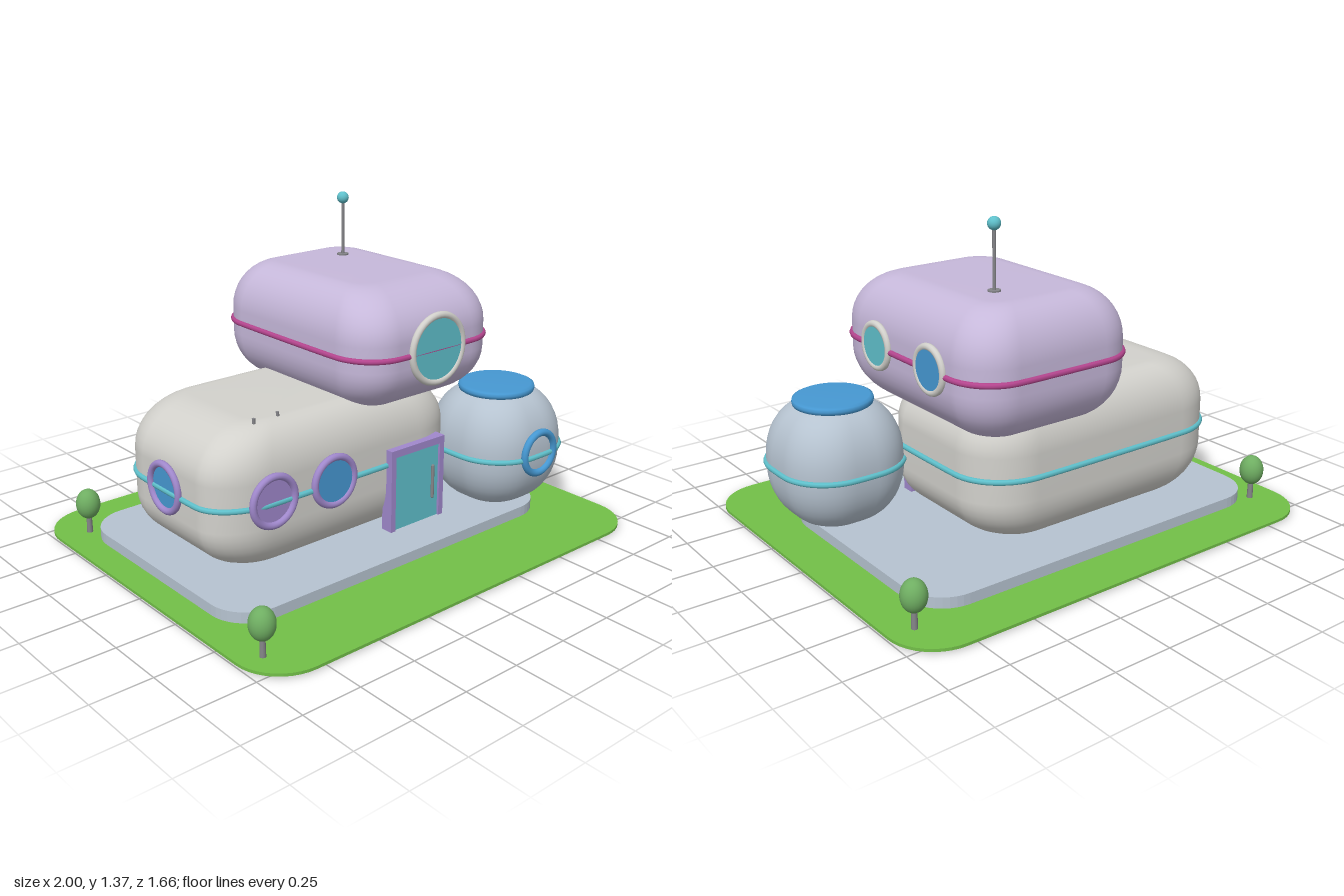
import * as THREE from 'three';

const mat = (name, color) => new THREE.MeshStandardMaterial({ name, color });

export function createModel() {
  const root = new THREE.Group();
  root.name = 'podHouse';
  const M = {
    grass: mat('grassGreen', 0x72bf48),
    leaf: mat('leafGreen', 0x6fae62),
    slab: mat('paleBlueGrey', 0xb6c3d0),
    white: mat('warmWhite', 0xd2d1cc),
    lilac: mat('lilac', 0xc6b8da),
    purple: mat('purple', 0xa088cc),
    teal: mat('teal', 0x5fc0cb),
    blue: mat('blue', 0x4698d2),
    magenta: mat('magenta', 0xb5468f),
    metal: mat('metalGrey', 0x858589),
  };

  const add = (name, geo, material, x = 0, y = 0, z = 0, parent = root) => {
    const m = new THREE.Mesh(geo, material);
    m.name = name;
    m.position.set(x, y, z);
    parent.add(m);
    return m;
  };

  // Flat plate with rounded corners, bottom at y0
  const plate = (name, material, x0, x1, z0, z1, y0, y1, r) => {
    const s = new THREE.Shape();
    const w = (x1 - x0) / 2, d = (z1 - z0) / 2;
    s.absarc(w - r, d - r, r, 0, Math.PI / 2);
    s.absarc(-w + r, d - r, r, Math.PI / 2, Math.PI);
    s.absarc(-w + r, -d + r, r, Math.PI, Math.PI * 1.5);
    s.absarc(w - r, -d + r, r, Math.PI * 1.5, Math.PI * 2);
    const g = new THREE.ExtrudeGeometry(s, { depth: y1 - y0, bevelEnabled: false, curveSegments: 5 });
    g.rotateX(-Math.PI / 2);
    return add(name, g, material, (x0 + x1) / 2, y0, (z0 + z1) / 2);
  };

  // Rounded-rectangle outline of a pod, shrunk by f (0 = widest, 1 = top or bottom)
  const N = 10;
  const outline = (p, f, y) => {
    const x0 = p.x[0] + p.ix * f, x1 = p.x[1] - p.ix * f;
    const z0 = p.z[0] + p.ib * f, z1 = p.z[1] - p.if * f;
    const k = 1 - 0.6 * f, pts = [];
    for (let q = 0; q < 4; q++) {
      const right = q === 0 || q === 3, front = q < 2;
      const rx = p.rx * k, rz = (front ? p.rf : p.rb) * k;
      const cx = right ? x1 - rx : x0 + rx, cz = front ? z1 - rz : z0 + rz;
      for (let j = 0; j <= N; j++) {
        const a = (q + j / N) * Math.PI / 2;
        pts.push(new THREE.Vector3(cx + rx * Math.cos(a), y, cz + rz * Math.sin(a)));
      }
    }
    return pts;
  };

  // Soft pod skinned through stacked outlines, with a trim tube round its waist
  const pod = (name, p, material, trimMaterial, trimY) => {
    const [y0, y1] = p.y, V = 10, rings = [];
    for (let i = 0; i <= V; i++) {
      const t = (1 - i / V) * Math.PI / 2;
      rings.push(outline(p, 1 - Math.cos(t), y0 + p.rv * (1 - Math.sin(t))));
    }
    for (let i = 0; i <= V; i++) {
      const t = (i / V) * Math.PI / 2;
      rings.push(outline(p, 1 - Math.cos(t), y1 - p.rv * (1 - Math.sin(t))));
    }
    const n = rings[0].length, pts = rings.flat(), idx = [];
    const cx = (p.x[0] + p.x[1]) / 2, cz = (p.z[0] + p.z[1]) / 2;
    const bottom = pts.push(new THREE.Vector3(cx, y0, cz)) - 1;
    const top = pts.push(new THREE.Vector3(cx, y1, cz)) - 1;
    const last = (rings.length - 1) * n;
    for (let j = 0; j < n; j++) {
      const j2 = (j + 1) % n;
      for (let k = 0; k < rings.length - 1; k++) {
        const a = k * n + j, b = k * n + j2;
        idx.push(a, a + n, b, b, a + n, b + n);
      }
      idx.push(bottom, j, j2, top, last + j2, last + j);
    }
    const g = new THREE.BufferGeometry().setFromPoints(pts);
    g.setIndex(idx);
    g.computeVertexNormals();
    add(name, g, material);
    const curve = new THREE.CatmullRomCurve3(outline(p, 0, trimY), true);
    add(name + 'Trim', new THREE.TubeGeometry(curve, 140, 0.012, 8, true), trimMaterial);
  };

  // Round window facing +z, turned about y
  const porthole = (name, ringMat, glassMat, R, r, x, y, z, turn = 0, glassZ = 0.005) => {
    const g = new THREE.Group();
    g.name = name;
    g.position.set(x, y, z);
    g.rotation.y = turn;
    add('windowRing', new THREE.TorusGeometry((R + r) / 2, (R - r) / 2, 12, 40), ringMat, 0, 0, 0, g);
    if (glassMat) {
      const disc = new THREE.CylinderGeometry(r + 0.006, r + 0.006, 0.04, 36).rotateX(Math.PI / 2);
      add('windowGlass', disc, glassMat, 0, 0, glassZ - 0.02, g);
    }
    root.add(g);
  };

  // Ground and foundation
  plate('lawn', M.grass, -1, 1, -0.83, 0.83, 0.008, 0.02, 0.2);
  plate('foundation', M.slab, -0.88, 0.81, -0.62, 0.48, 0.02, 0.065, 0.17);
  add('doorstep', new THREE.BoxGeometry(0.32, 0.012, 0.08), M.metal, 0.18, 0.006, 0.3);

  // Three pods
  pod('mainPod', { x: [-0.795, 0.455], y: [0.065, 0.655], z: [-0.485, 0.272],
    ix: 0.25, if: 0.14, ib: 0.15, rx: 0.24, rf: 0.17, rb: 0.22, rv: 0.2 }, M.white, M.teal, 0.36);
  pod('upperPod', { x: [-0.15, 0.612], y: [0.583, 1.09], z: [-0.648, 0.345],
    ix: 0.18, if: 0.23, ib: 0.16, rx: 0.18, rf: 0.19, rb: 0.18, rv: 0.2 }, M.lilac, M.magenta, 0.835);
  pod('sidePod', { x: [0.42, 0.942], y: [0.062, 0.565], z: [0.008, 0.53],
    ix: 0.165, if: 0.165, ib: 0.165, rx: 0.21, rf: 0.21, rb: 0.21, rv: 0.23 }, M.slab, M.teal, 0.31);

  // Side pod roof cap with a rounded rim
  const cap = [[0, 0], [0.15, 0], [0.163, 0.008], [0.166, 0.02], [0.163, 0.032], [0.15, 0.038], [0, 0.038]];
  add('roofCap', new THREE.LatheGeometry(cap.map(c => new THREE.Vector2(...c)), 40), M.blue, 0.68, 0.545, 0.27);

  // Windows
  const side = Math.PI / 2;
  porthole('mainWindowOuter', M.purple, M.purple, 0.115, 0.085, -0.555, 0.375, 0.28, 0, -0.002);
  porthole('mainWindowInner', M.purple, M.blue, 0.115, 0.085, -0.255, 0.375, 0.28, 0, 0.006);
  porthole('mainWindowEnd', M.purple, M.blue, 0.112, 0.083, -0.803, 0.375, -0.1, -side, -0.002);
  porthole('upperWindowFront', M.white, M.teal, 0.155, 0.125, 0.23, 0.84, 0.35, 0, 0.008);
  porthole('upperWindowSideA', M.white, M.teal, 0.1, 0.072, 0.616, 0.84, 0.02, side, 0.01);
  porthole('upperWindowSideB', M.white, M.blue, 0.1, 0.072, 0.616, 0.84, -0.345, side, 0.01);
  porthole('sideWindow', M.blue, null, 0.107, 0.075, 0.68, 0.325, 0.53);

  // Door: frame with opening, panel and handle
  const frame = new THREE.Shape();
  [[-0.15, 0], [-0.125, 0], [-0.125, 0.33], [0.125, 0.33], [0.125, 0], [0.15, 0], [0.15, 0.362], [-0.15, 0.362]]
    .forEach(([x, y], i) => (i ? frame.lineTo(x, y) : frame.moveTo(x, y)));
  add('doorFrame', new THREE.ExtrudeGeometry(frame, { depth: 0.055, bevelEnabled: false }), M.purple, 0.18, 0.066, 0.25);
  add('doorPanel', new THREE.BoxGeometry(0.25, 0.33, 0.05), M.teal, 0.18, 0.231, 0.27);
  add('doorHandle', new THREE.CapsuleGeometry(0.007, 0.14, 4, 10), M.metal, 0.265, 0.235, 0.306);

  // Antenna and roof vents
  add('antennaFoot', new THREE.CylinderGeometry(0.025, 0.025, 0.008, 20), M.metal, 0.33, 1.092, -0.355);
  add('antennaRod', new THREE.CylinderGeometry(0.007, 0.007, 0.25, 12), M.metal, 0.33, 1.21, -0.355);
  add('antennaBall', new THREE.SphereGeometry(0.026, 20, 14), M.teal, 0.33, 1.344, -0.355);
  for (const x of [-0.545, -0.43])
    add('roofVent', new THREE.CylinderGeometry(0.007, 0.007, 0.04, 10), M.metal, x, 0.65, 0.145);

  // Trees
  for (const [x, z] of [[-0.87, -0.605], [0.895, -0.64], [-0.905, 0.66]]) {
    const t = new THREE.Group();
    t.name = 'tree';
    t.position.set(x, 0.015, z);
    add('trunk', new THREE.CylinderGeometry(0.011, 0.013, 0.09, 10), M.metal, 0, 0.045, 0, t);
    add('foliage', new THREE.SphereGeometry(0.051, 24, 16).scale(1, 1.27, 1), M.leaf, 0, 0.135, 0, t);
    root.add(t);
  }
  return root;
}
